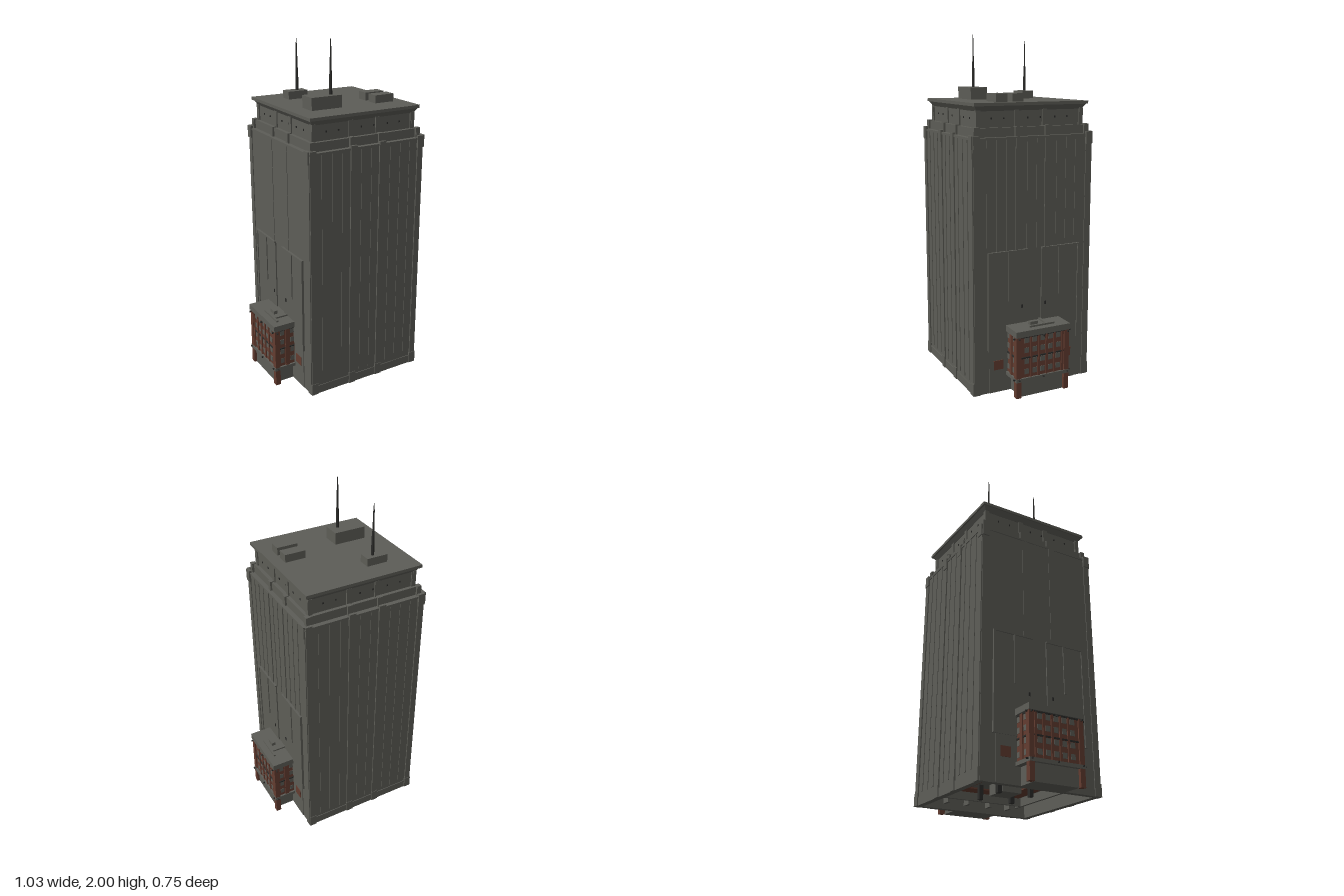
import * as THREE from 'three';

const grey = new THREE.MeshStandardMaterial({ color: 0x5d5d57 });
const brick = new THREE.MeshStandardMaterial({ color: 0x633c30 });
const dark = new THREE.MeshStandardMaterial({ color: 0x2c2c2a });

// Box given by its limits on each axis
function box(parent, name, mat, x0, x1, y0, y1, z0, z1) {
  const mesh = new THREE.Mesh(new THREE.BoxGeometry(Math.abs(x1 - x0), y1 - y0, Math.abs(z1 - z0)), mat);
  mesh.position.set((x0 + x1) / 2, (y0 + y1) / 2, (z0 + z1) / 2);
  mesh.name = name;
  parent.add(mesh);
  return mesh;
}

// Square frustum from half-width a at y0 to half-width b at y1
function frustum(parent, name, a, b, y0, y1) {
  const g = new THREE.CylinderGeometry(b * Math.SQRT2, a * Math.SQRT2, y1 - y0, 4).toNonIndexed();
  g.rotateY(Math.PI / 4);
  g.computeVertexNormals();
  const mesh = new THREE.Mesh(g, grey);
  mesh.position.y = (y0 + y1) / 2;
  mesh.name = name;
  parent.add(mesh);
}

function buildTower() {
  const g = new THREE.Group();
  g.name = 'tower';
  box(g, 'shaft', grey, -0.366, 0.366, 0.1, 1.44, -0.365, 0.365);
  // Hollow base: four walls below the shaft
  for (const s of [-1, 1]) {
    box(g, 'baseWall', grey, -0.366, 0.366, 0, 0.1, s * 0.335, s * 0.365);
    box(g, 'baseWall', grey, s * 0.336, s * 0.366, 0, 0.1, -0.335, 0.335);
  }
  // Pilasters, their capitals and fins on the front and back
  for (const s of [-1, 1]) {
    for (const x of [-0.348, -0.095, 0.09, 0.348]) {
      box(g, 'pilaster', grey, x - 0.018, x + 0.018, 0, 1.44, s * 0.36, s * 0.372);
      box(g, 'capital', grey, x - 0.02, x + 0.02, 1.39, 1.46, s * 0.36, s * 0.376);
      box(g, 'plinth', grey, x - 0.021, x + 0.021, 0, 0.07, s * 0.36, s * 0.375);
    }
    for (const x of [-0.285, -0.22, -0.158, -0.035, 0.03, 0.153, 0.22, 0.285])
      box(g, 'fin', grey, x - 0.008, x + 0.008, 0.07, 1.44, s * 0.36, s * 0.3685);
    box(g, 'baseBand', grey, -0.36, 0.36, 0, 0.05, s * 0.36, s * 0.369);
    // Corner pilasters facing the sides
    for (const z of [-0.348, 0.348]) {
      box(g, 'cornerPilaster', grey, s * 0.36, s * 0.371, 0, 1.44, z - 0.018, z + 0.018);
      box(g, 'capital', grey, s * 0.36, s * 0.378, 1.39, 1.46, z - 0.02, z + 0.02);
    }
  }
  // Ribs on the upper part of the left side
  for (const z of [-0.085, 0.095]) {
    box(g, 'sidePilaster', grey, 0.36, 0.372, 0.82, 1.44, z - 0.018, z + 0.018);
    box(g, 'sidePilaster', grey, -0.36, -0.369, 0.82, 1.44, z - 0.018, z + 0.018);
  }
  for (const z of [-0.27, -0.21, -0.15, -0.025, 0.035, 0.16, 0.22, 0.28])
    box(g, 'sideFin', grey, 0.36, 0.3695, 0.82, 1.44, z - 0.008, z + 0.008);
  // Raised lower panels with edge strips on both sides
  for (const s of [-1, 1]) {
    for (const [z0, z1, zm] of [[0.04, 0.28, 0.155], [-0.29, -0.05, -0.165]]) {
      box(g, 'sidePanel', grey, s * 0.36, s * 0.373, 0.25, 0.815, z0, z1);
      box(g, 'panelTop', grey, s * 0.36, s * 0.379, 0.812, 0.82, z0, z1);
      box(g, 'panelStrip', grey, s * 0.36, s * 0.379, 0.53, 0.82, zm - 0.005, zm + 0.005);
      const outer = z0 > 0 ? z1 : z0;
      box(g, 'panelStrip', grey, s * 0.36, s * 0.379, 0.25, 0.82, outer - 0.005, outer + 0.005);
      const m = z0 > 0 ? 1 : -1;
      box(g, 'brickPatch', brick, s * 0.366, s * 0.374, 0.135, 0.19, m * 0.19, m * 0.25);
      box(g, 'wallLamp', dark, s * 0.37, s * 0.377, 0.48, 0.50, m * 0.07, m * 0.08);
    }
    box(g, 'lowerWall', grey, s * 0.36, s * 0.37, 0, 0.25, -0.275, 0.275);
  }
  return g;
}

function buildCrown() {
  const g = new THREE.Group();
  g.name = 'crown';
  box(g, 'ledge', grey, -0.37, 0.37, 1.435, 1.447, -0.37, 0.37);
  box(g, 'parapet', grey, -0.343, 0.343, 1.44, 1.497, -0.343, 0.343);
  box(g, 'neck', grey, -0.323, 0.323, 1.49, 1.6, -0.323, 0.323);
  frustum(g, 'cornice', 0.325, 0.345, 1.585, 1.615);
  box(g, 'roofSlab', grey, -0.352, 0.35, 1.613, 1.63, -0.353, 0.35);
  // Posts and small lights repeated on all four faces
  for (let i = 0; i < 4; i++) {
    const face = new THREE.Group();
    face.name = 'crownFace';
    face.rotation.y = i * Math.PI / 2;
    for (const x of [-0.341, -0.095, 0.09, 0.341]) {
      box(face, 'parapetPost', grey, x - 0.014, x + 0.014, 1.44, 1.502, 0.33, 0.354);
      const n = x * 0.93;
      box(face, 'neckPost', grey, n - 0.014, n + 0.014, 1.495, 1.59, 0.31, 0.33);
    }
    for (const x of [-0.24, -0.165, -0.02, 0.06, 0.15, 0.23])
      box(face, 'neckLight', dark, x - 0.004, x + 0.004, 1.54, 1.55, 0.32, 0.326);
    g.add(face);
  }
  return g;
}

function buildRoof() {
  const g = new THREE.Group();
  g.name = 'roofEquipment';
  box(g, 'plantRoom', grey, -0.25, -0.06, 1.63, 1.7, 0.085, 0.19);
  box(g, 'rearPlantRoom', grey, -0.205, -0.08, 1.63, 1.675, -0.23, -0.16);
  box(g, 'ventHouse', grey, 0.16, 0.283, 1.63, 1.675, 0.023, 0.09);
  box(g, 'ventHouse', grey, 0.16, 0.283, 1.63, 1.675, 0.122, 0.19);
  // Tapered masts
  for (const [x, z, y0, y1] of [[-0.11, 0.152, 1.7, 2], [-0.13, -0.198, 1.675, 1.97]]) {
    const pts = [[0.009, 0], [0.008, 0.1], [0.005, 0.15], [0.004, 0.25], [0.0015, y1 - y0]];
    const mast = new THREE.Mesh(new THREE.LatheGeometry(pts.map(p => new THREE.Vector2(...p)), 6), dark);
    mast.position.set(x, y0, z);
    mast.name = 'mast';
    g.add(mast);
  }
  return g;
}

// Side annex on side s (+1 or -1); barZ and pipeZ place its roof ducts
function buildAnnex(s, barZ, pipeZ, hatchZ) {
  const g = new THREE.Group();
  g.name = s > 0 ? 'leftAnnex' : 'rightAnnex';
  const b = (name, mat, x0, x1, ...r) => box(g, name, mat, s * x0, s * x1, ...r);
  b('brickBody', brick, 0.36, 0.492, 0.11, 0.36, -0.152, 0.162);
  b('roofSlab', grey, 0.36, 0.505, 0.357, 0.392, -0.165, 0.175);
  b('sill', grey, 0.36, 0.503, 0.095, 0.115, -0.163, 0.173);
  b('baseWall', grey, 0.36, 0.485, 0, 0.1, -0.13, 0.14);
  // Bands between the floors
  b('floorBand', dark, 0.36, 0.497, 0.228, 0.236, -0.157, 0.167);
  b('eaveBand', dark, 0.36, 0.497, 0.349, 0.357, -0.157, 0.167);
  // Brick piers at the corners, legs below
  for (const z of [-0.147, 0.157]) {
    b('cornerPier', brick, 0.47, 0.5, 0, 0.355, z - 0.015, z + 0.015);
    b('innerPier', brick, 0.405, 0.43, 0.1, 0.355, z - 0.012, z + 0.012);
  }
  for (const z of [-0.095, -0.045, 0.005, 0.055, 0.105])
    b('slimPier', brick, 0.48, 0.498, 0.11, 0.352, z - 0.032, z - 0.02);
  // Window panes in two floors
  for (const y of [0.135, 0.195, 0.26, 0.318]) {
    for (const z of [-0.095, -0.045, 0.005, 0.055, 0.105])
      b('window', grey, 0.488, 0.4945, y, y + 0.03, z - 0.014, z + 0.014);
    for (const x of [0.385, 0.45])
      for (const [z0, z1] of [[0.16, 0.1645], [-0.1545, -0.15]])
        b('window', grey, x - 0.012, x + 0.012, y, y + 0.03, z0, z1);
  }
  // Roof ducts and hatch
  b('roofDuct', grey, 0.454, 0.466, 0.39, 0.402, barZ - 0.08, barZ + 0.08);
  b('roofDuct', grey, 0.365, 0.466, 0.39, 0.401, pipeZ - 0.006, pipeZ + 0.006);
  b('roofHatch', grey, 0.412, 0.436, 0.39, 0.412, hatchZ - 0.024, hatchZ + 0.024);
  // Small lamps around the edges
  for (const y of [0.105, 0.345]) {
    for (const z of [-0.15, 0.005, 0.158]) b('lamp', dark, 0.49, 0.513, y, y + 0.008, z - 0.003, z + 0.003);
    for (const z of [-0.17, 0.18]) b('lamp', dark, 0.485, 0.491, y, y + 0.008, z - 0.006, z + 0.006);
  }
  return g;
}

// Floor structure seen inside the hollow base
function buildUnderside() {
  const g = new THREE.Group();
  g.name = 'underside';
  for (const s of [-1, 1]) {
    box(g, 'brickCeiling', brick, -0.25, 0.25, 0.092, 0.102, s * 0.14, s * 0.24);
    box(g, 'brickCeiling', brick, s * 0.16, s * 0.25, 0.092, 0.102, -0.14, 0.14);
    box(g, 'beam', grey, -0.33, 0.33, 0.05, 0.1, s * 0.265, s * 0.28);
    box(g, 'beam', grey, s * 0.265, s * 0.28, 0.05, 0.1, -0.265, 0.265);
    for (const z of [-0.1, 0.1]) box(g, 'post', dark, s * 0.1 - 0.012, s * 0.1 + 0.012, 0.02, 0.1, z - 0.012, z + 0.012);
    for (const z of [-0.2, -0.07, 0.07, 0.2]) box(g, 'joist', grey, s * 0.28, s * 0.336, 0.03, 0.1, z - 0.008, z + 0.008);
  }
  box(g, 'core', grey, -0.07, 0.07, 0.04, 0.1, -0.06, 0.06);
  return g;
}

export function createModel() {
  const model = new THREE.Group();
  model.name = 'officeTower';
  model.add(buildTower(), buildCrown(), buildRoof(), buildUnderside());
  model.add(buildAnnex(1, -0.007, -0.04, 0.03), buildAnnex(-1, 0.05, 0.083, 0.01));
  return model;
}
